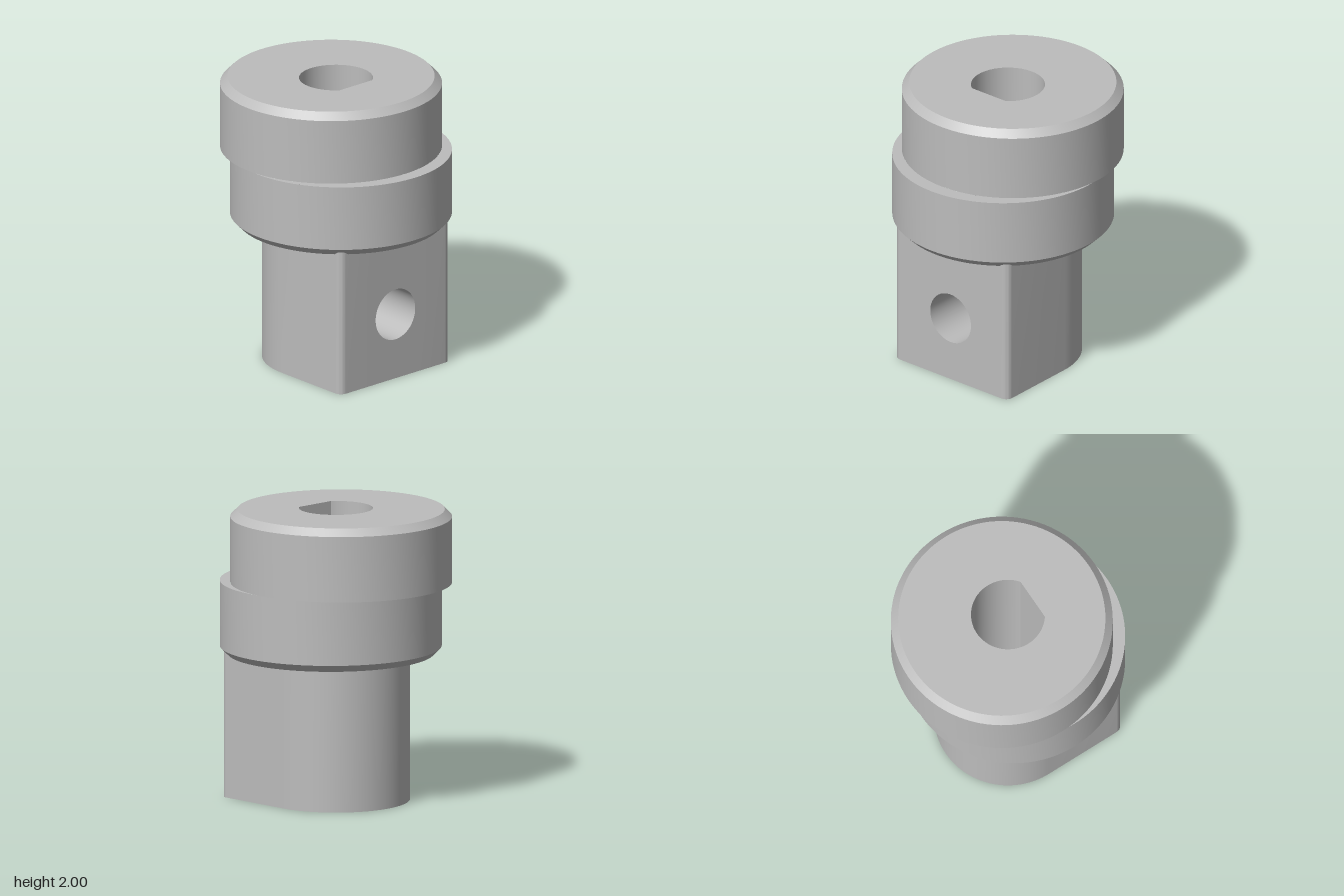
import * as THREE from 'three';
import { toCreasedNormals } from 'three/addons/utils/BufferGeometryUtils.js';

const HOLE_R = 0.18, HOLE_Y = 0.46; // cross hole in the flat of the stem
const BORE_R = 0.25, BORE_FLAT = 0.2; // D-shaped bore
const DISC_R = 0.75, OFFSET = 0.05, CHAMFER = 0.05; // offset discs

const P = (x, v) => new THREE.Vector2(x, v); // plan point, v = -z
const boreX = (v) => Math.min(BORE_FLAT, Math.sqrt(BORE_R ** 2 - v * v));
const gapAt = (v) => Math.sqrt(Math.max(0, HOLE_R ** 2 - v * v));

function arc(cx, cv, r, a0, a1, n, trim = 0) {
  const pts = [];
  for (let i = trim; i <= n - trim; i++) {
    const a = a0 + ((a1 - a0) * i) / n;
    pts.push(P(cx + r * Math.cos(a), cv + r * Math.sin(a)));
  }
  return pts;
}

// Sideways samples across the cross hole, including the bore's flat corners
function holeSamples() {
  const t = Math.acos(0.15 / HOLE_R);
  const stops = [[0, t, 6], [t, Math.PI - t, 28], [Math.PI - t, Math.PI, 6]];
  const out = [-HOLE_R];
  for (const [a, b, n] of stops)
    for (let i = 1; i <= n; i++) out.push(-HOLE_R * Math.cos(a + ((b - a) * i) / n));
  return out;
}

function quadGeometry(quads) {
  const pos = [];
  for (const [a, b, c, d] of quads) pos.push(...a, ...b, ...c, ...a, ...c, ...d);
  const g = new THREE.BufferGeometry();
  g.setAttribute('position', new THREE.Float32BufferAttribute(pos, 3));
  return toCreasedNormals(g, 0.5);
}

// Upright wall along a closed plan profile, leaving the cross hole open on +x
function wall(profile, y0, y1, inward) {
  const quads = [];
  const add = (a, b, la, lb, ha, hb) => {
    const q = [[a.x, la, -a.y], [b.x, lb, -b.y], [b.x, hb, -b.y], [a.x, ha, -a.y]];
    quads.push(inward ? q.reverse() : q);
  };
  const inHole = (p) => p.x > 0 && Math.abs(p.y) < HOLE_R + 1e-6;
  profile.forEach((a, i) => {
    const b = profile[(i + 1) % profile.length];
    if (inHole(a) && inHole(b)) {
      const ga = gapAt(a.y), gb = gapAt(b.y);
      add(a, b, y0, y0, HOLE_Y - ga, HOLE_Y - gb);
      add(a, b, HOLE_Y + ga, HOLE_Y + gb, y1, y1);
    } else add(a, b, y0, y0, y1, y1);
  });
  return quadGeometry(quads);
}

// Flat horizontal face from a plan outline, pierced by the bore
function cap(points, y, up, borePts) {
  const shape = new THREE.Shape(points);
  if (borePts) shape.holes.push(new THREE.Path(borePts));
  return new THREE.ShapeGeometry(shape).rotateX(up ? -Math.PI / 2 : Math.PI / 2).translate(0, y, 0);
}

export function createModel() {
  const model = new THREE.Group();
  model.name = 'eccentricHub';
  const steel = new THREE.MeshStandardMaterial({ color: 0xbcbcbc });
  steel.name = 'plain grey metal';
  const add = (name, geometry) => {
    const mesh = new THREE.Mesh(geometry, steel);
    mesh.name = name;
    model.add(mesh);
  };

  const samples = holeSamples();
  const H = Math.PI / 2;

  // Plan outlines of the bore and the stem
  const a = Math.asin(HOLE_R / BORE_R);
  const bore = [
    ...samples.map((v) => P(boreX(v), v)),
    ...arc(0, 0, BORE_R, a, 4 * H - a, 72, 1),
  ];
  const stem = [
    ...samples.map((v) => P(0.6, v)),
    ...arc(0.55, 0.45, 0.05, 0, H, 12),
    ...arc(0, 0, 0.5, H, 3 * H, 64),
    ...arc(0.55, -0.45, 0.05, 3 * H, 4 * H, 12),
  ];

  // Stem, its underside, and the bore running the full height
  add('stemWall', wall(stem, 0, 1.05, false));
  add('stemBottom', cap(stem, 0, false, bore));
  add('boreWall', wall(bore, 0, 2, true));

  // Cross hole from the flat into the bore
  const ring = [
    ...samples.map((v) => [v, HOLE_Y + gapAt(v)]),
    ...samples.slice(1, -1).reverse().map((v) => [v, HOLE_Y - gapAt(v)]),
  ];
  add('crossHole', quadGeometry(ring.map(([v, y], i) => {
    const [w, u] = ring[(i + 1) % ring.length];
    return [[boreX(v), y, -v], [boreX(w), u, -w], [0.6, u, -w], [0.6, y, -v]];
  })));

  // Two discs offset to either side, chamfered on their outer ends
  const disc = (pts, x) =>
    toCreasedNormals(new THREE.LatheGeometry(pts, 96), 0.5).translate(x, 0, 0);
  const inner = DISC_R - CHAMFER;
  add('upperDisc', disc([P(DISC_R, 1.5), P(DISC_R, 2 - CHAMFER), P(inner, 2)], -OFFSET));
  add('lowerDisc', disc([P(inner, 1), P(DISC_R, 1 + CHAMFER), P(DISC_R, 1.5)], OFFSET));
  const circle = (x) => arc(x, 0, inner, 0, 4 * H, 96).slice(0, -1);
  add('upperDiscTop', cap(circle(-OFFSET), 2, true, bore));
  add('lowerDiscBottom', cap(circle(OFFSET), 1, false, bore));

  // Crescent ledges where the discs overhang each other
  const e = Math.acos(OFFSET / DISC_R);
  const crescent = [
    ...arc(OFFSET, 0, DISC_R, e - 2 * H, 2 * H - e, 64),
    ...arc(-OFFSET, 0, DISC_R, e, -e, 64, 1),
  ];
  add('lowerDiscLedge', cap(crescent, 1.5, true));
  add('upperDiscLedge', cap(crescent, 0, true).rotateZ(Math.PI).translate(0, 1.5, 0));

  return model;
}
